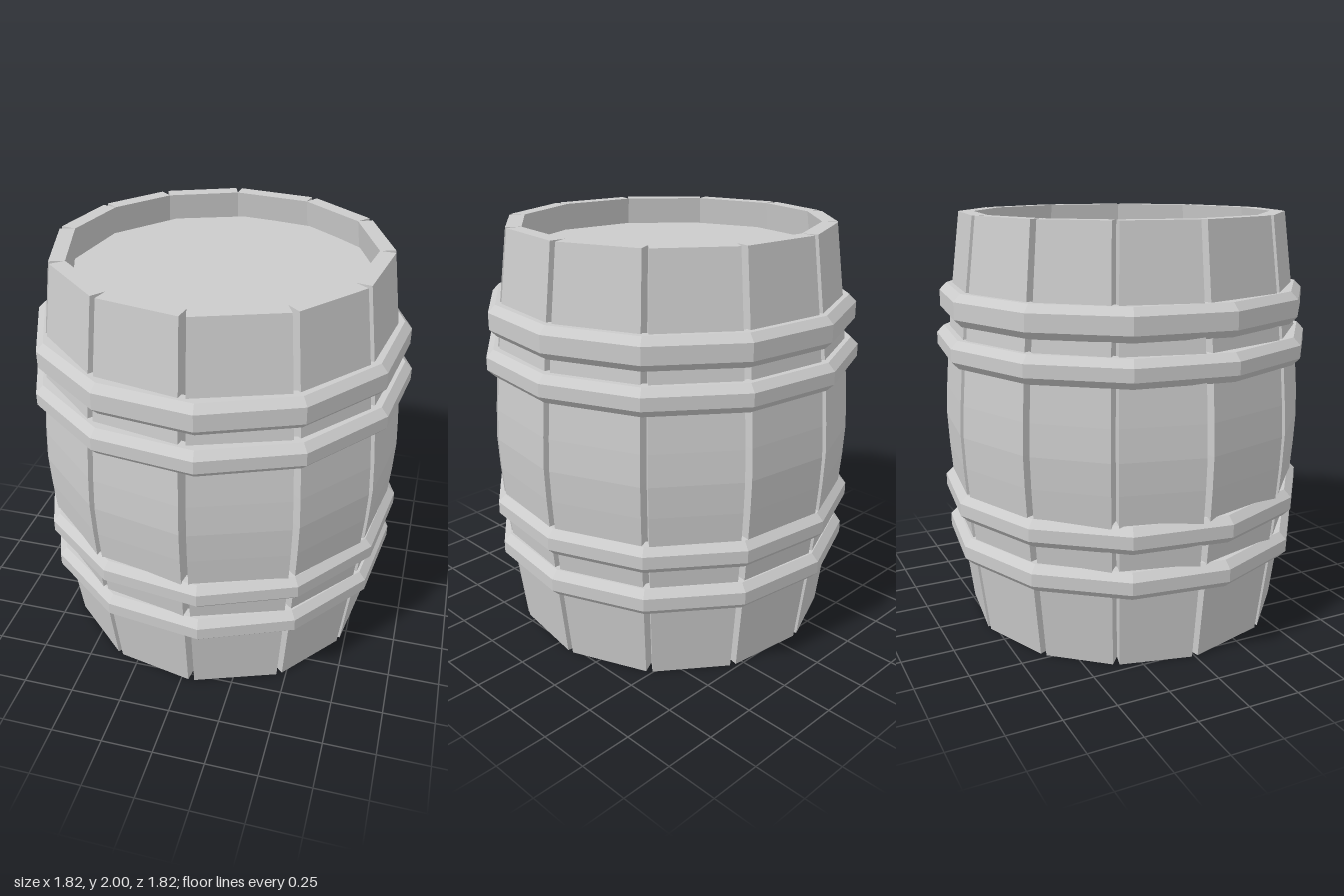
import * as THREE from 'three';

const mat = new THREE.MeshStandardMaterial({ color: 0xcccccc, flatShading: true });
const rad = THREE.MathUtils.degToRad;

// Angles of the joints between staves, measured from +z towards +x
const JOINTS = [3.7, 36.5, 66, 97, 128, 157.6, 188, 216.6, 242.5, 270, 302, 333.4];
const LEVELS = [0, 0.35, 0.65, 0.85, 1, 1.15, 1.35, 1.65, 2];
const THICKNESS = 0.072;

// Outer radius of the bulging wall at height y
const bulge = (y) => 0.886 - 0.1 * Math.pow(Math.abs(y - 1), 1.4);

// One stave: a four-cornered section swept up the bulge, narrower outside so joints form V grooves
function staveGeometry(a0, a1) {
  const groove = rad(1.1);
  const pos = [];
  const idx = [];
  for (const y of LEVELS) {
    const r = bulge(y);
    const corners = [[r, a0 + groove], [r, a1 - groove], [r - THICKNESS, a1], [r - THICKNESS, a0]];
    for (const [cr, a] of corners) pos.push(cr * Math.sin(a), y, cr * Math.cos(a));
  }
  const quad = (a, b, c, d) => idx.push(a, b, c, a, c, d);
  for (let i = 0; i < LEVELS.length - 1; i++) {
    for (let j = 0; j < 4; j++) {
      const k = (j + 1) % 4;
      quad(i * 4 + j, i * 4 + k, i * 4 + 4 + k, i * 4 + 4 + j);
    }
  }
  const t = (LEVELS.length - 1) * 4;
  quad(3, 2, 1, 0);
  quad(t, t + 1, t + 2, t + 3);
  const g = new THREE.BufferGeometry();
  g.setAttribute('position', new THREE.Float32BufferAttribute(pos, 3));
  g.setIndex(idx);
  g.computeVertexNormals();
  return g;
}

// Twelve-sided hoop with chamfered outer edges
function hoopGeometry(y0, y1, r) {
  const c = 0.035;
  const inner = r - 0.085;
  const profile = [[inner, y0], [r - c, y0], [r, y0 + c], [r, y1 - c], [r - c, y1], [inner, y1], [inner, y0]];
  return new THREE.LatheGeometry(profile.map((p) => new THREE.Vector2(...p)), 12, rad(7.5));
}

export function createModel() {
  const barrel = new THREE.Group();
  barrel.name = 'barrel';
  const add = (name, geometry) => {
    const mesh = new THREE.Mesh(geometry, mat);
    mesh.name = name;
    barrel.add(mesh);
    return mesh;
  };

  // Staves
  JOINTS.forEach((a, i) => {
    const next = i < 11 ? JOINTS[i + 1] : JOINTS[0] + 360;
    add('stave' + (i + 1), staveGeometry(rad(a), rad(next)));
  });

  // Hoops, two near each end
  [[0.36, 0.49, 0.893], [0.58, 0.71, 0.907], [1.32, 1.45, 0.918], [1.51, 1.66, 0.896]]
    .forEach((h, i) => add('hoop' + (i + 1), hoopGeometry(...h)));

  // Recessed heads at both ends
  [['bottomHead', 0.15], ['topHead', 1.85]].forEach(([name, y]) => {
    const head = add(name, new THREE.CylinderGeometry(0.718, 0.718, 0.04, 12, 1, false, rad(5)));
    head.position.set(0.01, y, -0.01);
  });

  return barrel;
}
